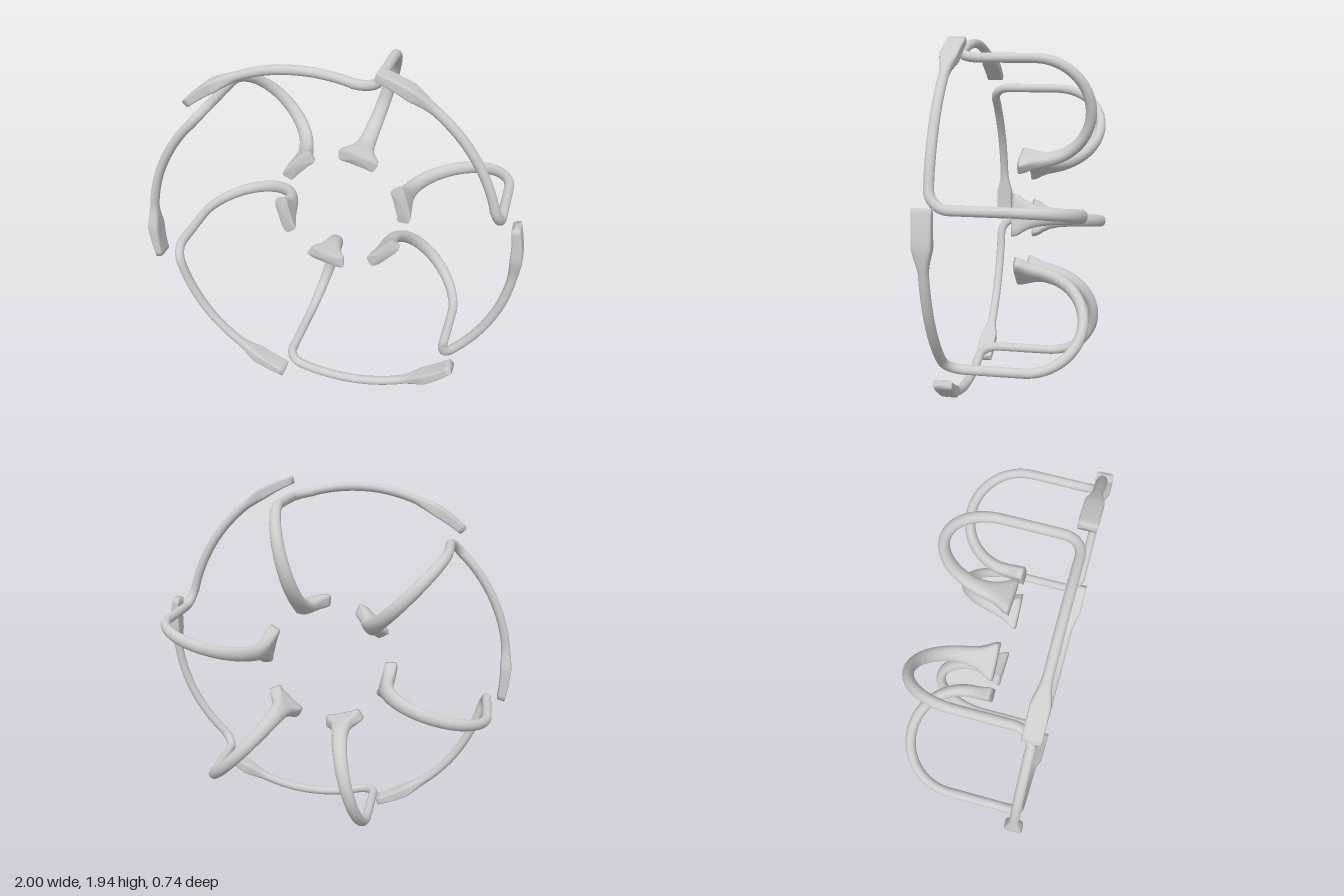
import * as THREE from 'three';

const SIDES = 20;
const FOOT_R = 0.345, OUTER_R = 0.899, BEND_Z = -0.07, RIM_Z = 0.32, FILLET = 0.1;
const DEG = Math.PI / 180;

// Piecewise linear lookup in rows of [key, value, value, ...]
function lookup(rows, x) {
  if (x <= rows[0][0]) return rows[0].slice(1);
  for (let i = 1; i < rows.length; i++) {
    const a = rows[i - 1], b = rows[i];
    if (x <= b[0]) {
      const t = (x - a[0]) / (b[0] - a[0]);
      return a.slice(1).map((v, k) => THREE.MathUtils.lerp(v, b[k + 1], t));
    }
  }
  return rows[rows.length - 1].slice(1);
}

// Stations in cylindrical terms: position [r, angle, z], section axes W and N as
// [radial, tangential, axial], size = [half width, half thickness, roundness]
function armStations() {
  const list = [];
  const add = (pos, W, N, size) => list.push({ pos, W, N, size });

  // Foot: wide curved pad that narrows into the spoke
  const foot = [[0, 0.106, 0.036, 0.3], [0.03, 0.1, 0.036, 0.35], [0.06, 0.08, 0.036, 0.5], [0.1, 0.061, 0.035, 0.7]];
  for (let i = 0; i < 8; i++) {
    const d = i / 8 * 0.1;
    add([FOOT_R, 0, 0.03 - d], [0, 1, 0], [1, 0, 0], lookup(foot, d));
  }

  // Half-circle bend of the spoke
  const bend = [[0, 0.061, 0.035, 0.7], [0.2, 0.049, 0.034, 0.85], [0.45, 0.043, 0.033, 1], [0.9, 0.038, 0.03, 1], [Math.PI, 0.025, 0.025, 1]];
  const R = (OUTER_R - FOOT_R) / 2;
  for (let i = 0; i <= 32; i++) {
    const p = i / 32 * Math.PI, c = Math.cos(p), s = Math.sin(p);
    add([FOOT_R + R - R * c, 0, BEND_Z - R * s], [0, 1, 0], [c, 0, s], lookup(bend, p));
  }

  // Straight run forward, then a rounded corner into the rim
  for (let i = 0; i <= 10; i++) {
    const p = i / 10 * Math.PI / 2, c = Math.cos(p), s = Math.sin(p);
    add([OUTER_R, FILLET * (1 - c) / OUTER_R, RIM_Z - FILLET + FILLET * s],
      [0, c, -s], [-1, 0, 0], [0.025, 0.025, 1]);
  }

  // Rim arc ending in a flat paddle
  const radius = [[6, 0.899], [21, 0.926], [30, 0.942], [40, 0.957], [44, 0.962], [49.5, 0.97], [60.3, 0.983]];
  const rim = [[42.5, 0.025, 0.024, 1], [45, 0.029, 0.027, 0.7], [49.5, 0.047, 0.031, 0.3], [60.3, 0.047, 0.021, 0.25]];
  const start = FILLET / OUTER_R / DEG;
  for (let i = 1; i <= 36; i++) {
    const a = start + (60.3 - start) * i / 36;
    add([lookup(radius, a)[0], a * DEG, RIM_Z], [0, 0, -1], [-1, 0, 0], lookup(rim, a));
  }
  return list;
}

// Sweep a superellipse section along the stations and close both ends
function sweep(stations) {
  const pos = [], index = [];
  const put = (r, a, z) => pos.push(r * Math.cos(a), r * Math.sin(a), z);
  const power = (v, e) => Math.sign(v) * Math.pow(Math.abs(v), e);
  for (const { pos: [r, a, z], W, N, size: [w, h, e] } of stations) {
    for (let j = 0; j < SIDES; j++) {
      const q = (j + 0.5) / SIDES * Math.PI * 2;
      const u = w * power(Math.cos(q), e), v = h * power(Math.sin(q), e);
      const [dr, dt, dz] = [0, 1, 2].map(k => W[k] * u + N[k] * v);
      put(r + dr, a + dt / r, z + dz);
    }
  }
  const n = stations.length;
  for (let i = 0; i < n - 1; i++) {
    for (let j = 0; j < SIDES; j++) {
      const k = (j + 1) % SIDES;
      const a = i * SIDES + j, b = i * SIDES + k, c = a + SIDES, d = b + SIDES;
      index.push(a, b, c, b, d, c);
    }
  }
  const first = pos.length / 3, last = first + 1, end = (n - 1) * SIDES;
  put(...stations[0].pos);
  put(...stations[n - 1].pos);
  for (let j = 0; j < SIDES; j++) {
    const k = (j + 1) % SIDES;
    index.push(first, k, j, last, end + j, end + k);
  }
  const g = new THREE.BufferGeometry();
  g.setAttribute('position', new THREE.Float32BufferAttribute(pos, 3));
  g.setIndex(index);
  g.computeVertexNormals();
  return g;
}

export function createModel() {
  const model = new THREE.Group();
  model.name = 'propellerGuard';
  const grey = new THREE.MeshStandardMaterial({ color: 0xcccccc });
  grey.name = 'lightGrey';

  // Six equal arms around the z axis
  const geometry = sweep(armStations());
  for (let i = 0; i < 6; i++) {
    const arm = new THREE.Mesh(geometry, grey);
    arm.name = 'guardArm' + (i + 1);
    arm.position.y = 0.97;
    arm.rotation.z = (74.7 + i * 60) * DEG;
    model.add(arm);
  }
  return model;
}
